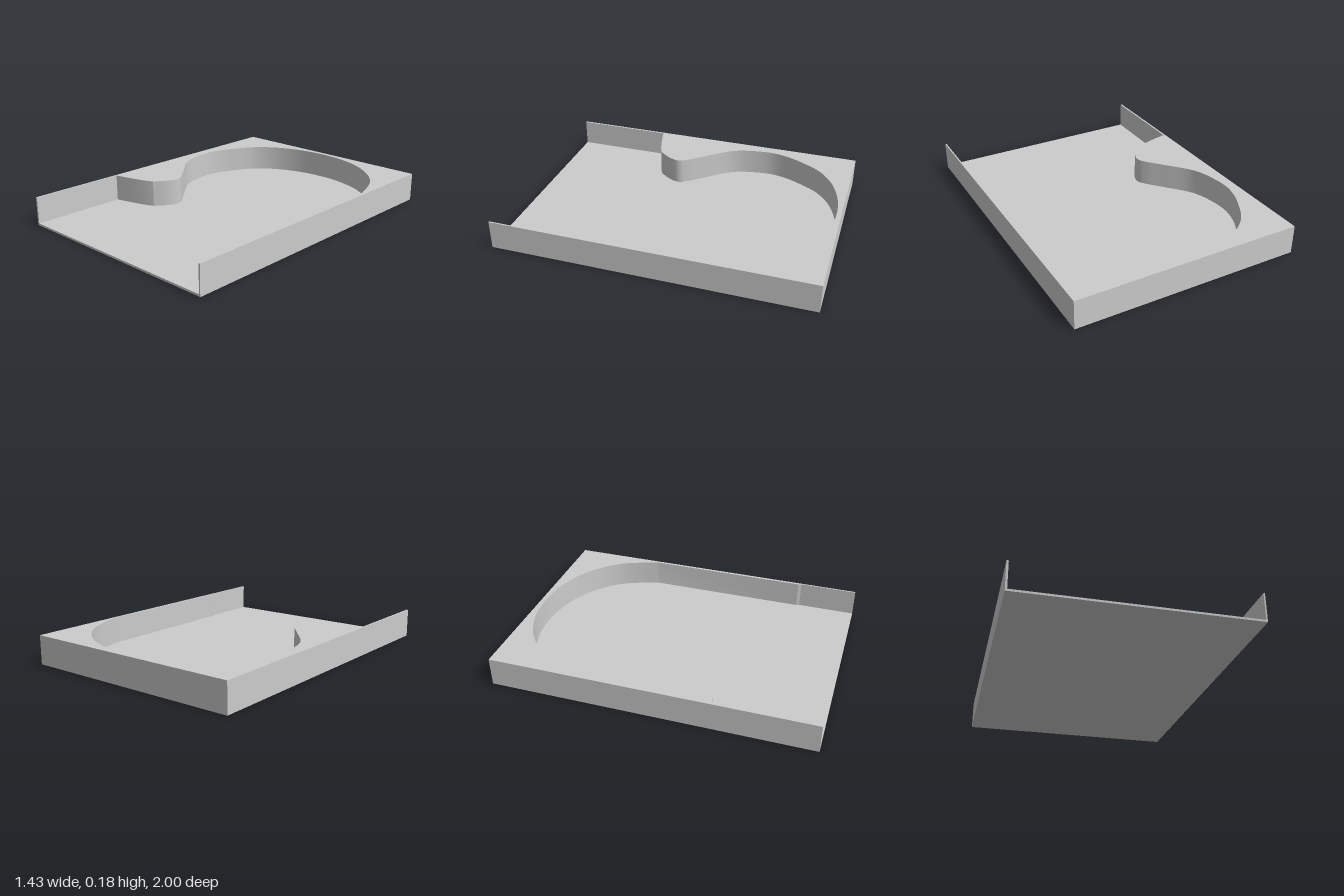
import * as THREE from 'three';
import { toCreasedNormals } from 'three/addons/utils/BufferGeometryUtils.js';

const HALF_W = 0.717, HALF_L = 1, HEIGHT = 0.182, FLOOR = 0.013;
const points = (list) => list.map(([x, z]) => new THREE.Vector2(x, z));

export function createModel() {
  const model = new THREE.Group();
  model.name = 'tray';
  const material = new THREE.MeshStandardMaterial({ color: 0xcccccc });

  // Thin floor plate under the whole tray
  const floor = new THREE.Mesh(
    new THREE.BoxGeometry(HALF_W * 2, FLOOR, HALF_L * 2), material);
  floor.position.y = FLOOR / 2;
  floor.name = 'floor';
  model.add(floor);

  // Wall plan, drawn in x and z: the cavity is open at the front
  const plan = new THREE.Shape();
  plan.moveTo(0.708, HALF_L);
  plan.lineTo(0.708, 0.63);
  plan.lineTo(0.7, 0.61);
  plan.lineTo(0.7, -0.41);
  // Rounded back of the cavity, sweeping into the side bulge
  plan.splineThru(points([
    [0.66, -0.54], [0.6, -0.67], [0.495, -0.79], [0.35, -0.89], [0.18, -0.95],
    [0, -0.97], [-0.19, -0.95], [-0.365, -0.885], [-0.495, -0.785], [-0.577, -0.656],
    [-0.632, -0.53], [-0.65, -0.39], [-0.603, -0.18], [-0.47, -0.01],
    [-0.385, 0.09], [-0.35, 0.155], [-0.375, 0.23], [-0.43, 0.303],
  ]));
  // Front face of the bulge
  plan.quadraticCurveTo(-0.5, 0.34, -0.705, 0.385);
  plan.lineTo(-0.705, HALF_L);
  plan.lineTo(-HALF_W, HALF_L);
  plan.lineTo(-HALF_W, -HALF_L);
  plan.lineTo(HALF_W, -HALF_L);
  plan.lineTo(HALF_W, HALF_L);
  plan.closePath();

  const wall = new THREE.ExtrudeGeometry(plan, {
    depth: HEIGHT - FLOOR, bevelEnabled: false, curveSegments: 5,
  });
  wall.rotateX(Math.PI / 2); // plan y becomes z, extrusion runs downwards
  wall.translate(0, HEIGHT, 0);
  const walls = new THREE.Mesh(toCreasedNormals(wall, 0.35), material);
  walls.name = 'walls';
  model.add(walls);

  return model;
}
